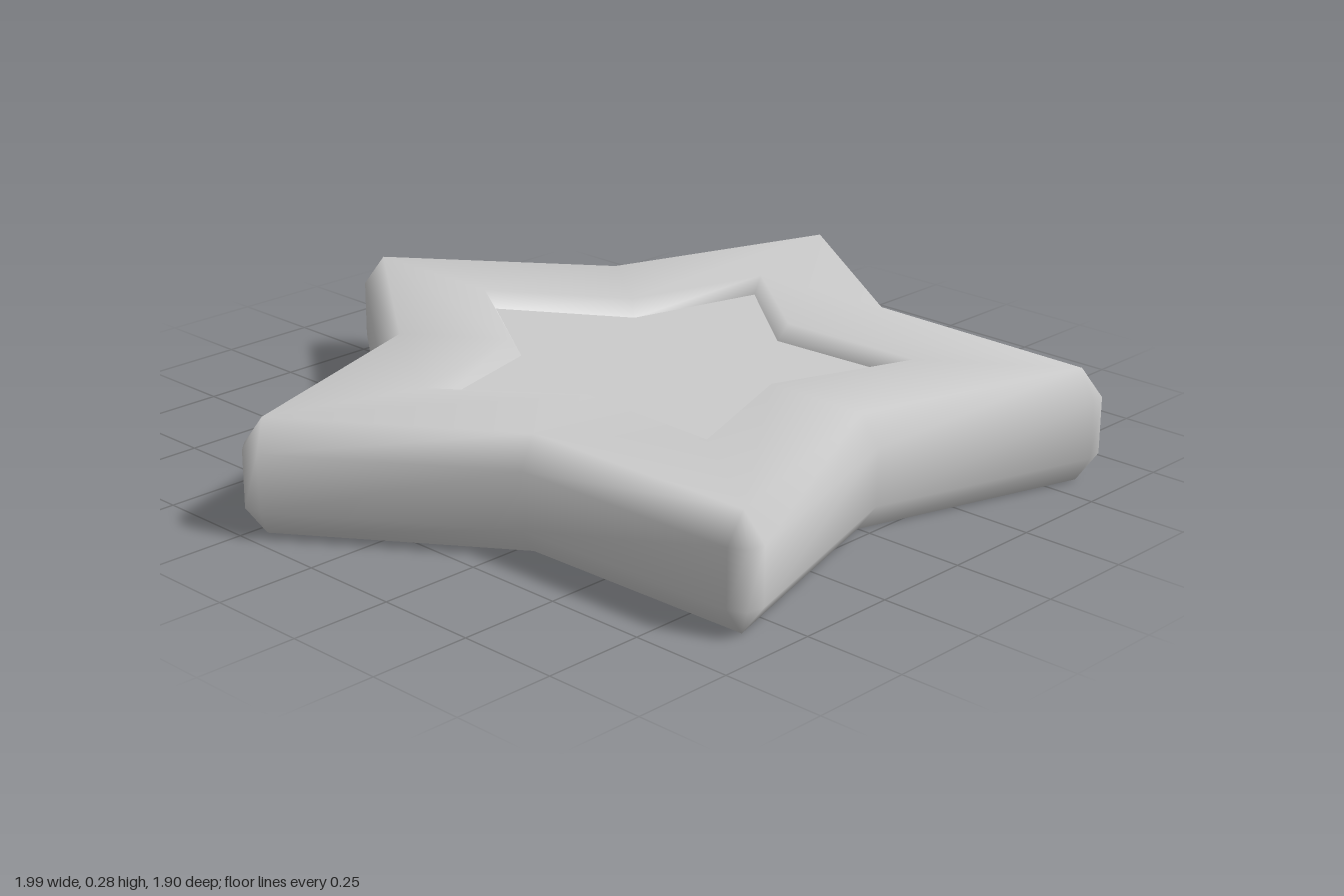
import * as THREE from 'three';
import { mergeVertices } from 'three/addons/utils/BufferGeometryUtils.js';

const CENTRE_Z = 0.088;
const material = new THREE.MeshStandardMaterial({ color: 0xcccccc, side: THREE.DoubleSide });

// Star outline as [x, z] pairs; a swell pushes it outwards and rounds each tip with three points
function star(tip, valley, swell = 0) {
  const points = [];
  const half = Math.atan2(valley * Math.sin(Math.PI / 5), tip - valley * Math.cos(Math.PI / 5));
  const turn = Math.PI / 2 - half;
  const at = (r, a) => [r * Math.sin(a), -r * Math.cos(a)];
  for (let k = 0; k < 5; k++) {
    const a = (k * 2 * Math.PI) / 5;
    const [tx, tz] = at(tip, a);
    for (const side of [-1, 0, 1]) {
      const [dx, dz] = at(swell, a + side * turn);
      points.push([tx + dx, tz + dz]);
    }
    const grow = swell / Math.cos(turn - Math.PI / 5);
    points.push(at(valley + grow, a + Math.PI / 5));
  }
  return points;
}

// Skin joining star rings, each [outline, height]
function loft(rings) {
  const positions = [], index = [];
  const n = rings[0][0].length;
  for (const [outline, y] of rings) for (const [x, z] of outline) positions.push(x, y, z);
  for (let r = 0; r < rings.length - 1; r++) {
    for (let i = 0; i < n; i++) {
      const a = r * n + i, b = r * n + ((i + 1) % n);
      index.push(a, a + n, b, b, a + n, b + n);
    }
  }
  let geometry = new THREE.BufferGeometry();
  geometry.setAttribute('position', new THREE.Float32BufferAttribute(positions, 3));
  geometry.setIndex(index);
  geometry = mergeVertices(geometry, 1e-4);
  geometry.computeVertexNormals();
  return geometry;
}

// Flat star panel facing up (1) or down (-1)
function panel(tip, valley, y, facing) {
  const outline = star(tip, valley).filter((p, i) => i % 4 === 1 || i % 4 === 3);
  const shape = new THREE.Shape(outline.map(([x, z]) => new THREE.Vector2(x, -facing * z)));
  return new THREE.ShapeGeometry(shape).rotateX((-facing * Math.PI) / 2).translate(0, y, 0);
}

export function createModel() {
  const group = new THREE.Group();
  group.name = 'star';
  const add = (name, geometry) => {
    const mesh = new THREE.Mesh(geometry, material);
    mesh.name = name;
    mesh.position.z = CENTRE_Z;
    group.add(mesh);
  };

  // Rounded border, from the base edge up over the top and down into the recess
  add('rim', loft([
    [star(0.995, 0.627), 0],
    [star(0.995, 0.627, 0.05), 0.07],
    [star(0.995, 0.627, 0.05), 0.21],
    [star(0.995, 0.627), 0.28],
    [star(0.605, 0.36), 0.28],
    [star(0.565, 0.33), 0.24],
  ]));
  add('recessedPanel', panel(0.565, 0.33, 0.24, 1));
  add('base', panel(0.995, 0.627, 0, -1));
  return group;
}
